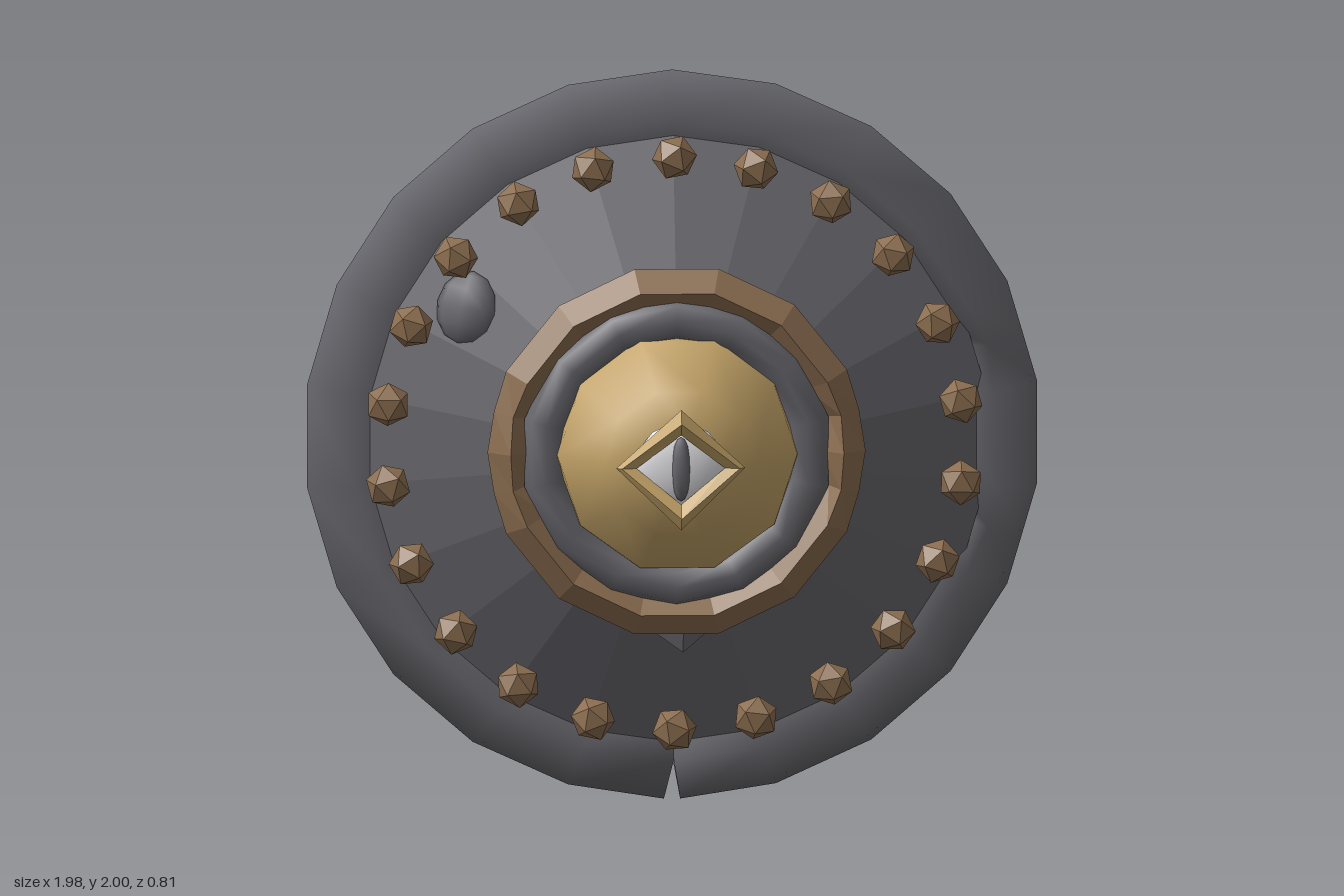
import * as THREE from 'three';

const steel = new THREE.MeshStandardMaterial({ color: 0x69686e, side: THREE.DoubleSide });
steel.name = 'steel';
const wood = new THREE.MeshStandardMaterial({ color: 0x8c6e50, side: THREE.DoubleSide });
wood.name = 'brown';
const gold = new THREE.MeshStandardMaterial({ color: 0xc4a468, side: THREE.DoubleSide });
gold.name = 'gold';
const white = new THREE.MeshStandardMaterial({ color: 0xe4e4e8 });
white.name = 'eye white';

// Give every face its own normal
function flat(geo) {
  const g = geo.index ? geo.toNonIndexed() : geo;
  g.computeVertexNormals();
  return g;
}

// Skin between cross-sections, each a list of [x, y, z]
function loft(rings, closed = false) {
  const n = rings[0].length, count = rings.length, index = [];
  for (let i = 0; i < (closed ? count : count - 1); i++) {
    const a = i * n, b = ((i + 1) % count) * n;
    for (let k = 0; k < n; k++) {
      const m = (k + 1) % n;
      index.push(a + k, b + k, b + m, a + k, b + m, a + m);
    }
  }
  const g = new THREE.BufferGeometry();
  g.setAttribute('position', new THREE.Float32BufferAttribute(rings.flat(2), 3));
  g.setIndex(index);
  g.computeVertexNormals();
  return g;
}

// Diamond section of a hoop: outer, front, inner, back; pinch squeezes all but the outer corner
function hoopSection(angle, R, t, z, pinch = 0) {
  const shrink = pinch ? 0.99 : 1;
  const corners = [
    [R + t, z],
    [R + t * pinch * 0.25, z + t * (1 - pinch * 0.45)],
    [R - t * (1 - pinch), z],
    [R + t * pinch * 0.25, z - t * (1 - pinch * 0.45)],
  ];
  return corners.map(([r, zz]) => [r * shrink * Math.cos(angle), r * shrink * Math.sin(angle), zz]);
}

// Turned form around the z axis, from [radius, z] points
function turned(points, sides, start = 0) {
  return new THREE.LatheGeometry(points.map(p => new THREE.Vector2(p[0], p[1])), sides, start).rotateX(Math.PI / 2);
}

export function createModel() {
  const model = new THREE.Group();
  model.name = 'roundShield';
  const body = new THREE.Group();
  body.name = 'shieldParts';
  body.position.y = 1;
  model.add(body);

  const add = (name, geo, mat, x = 0, y = 0, z = 0) => {
    const mesh = new THREE.Mesh(geo, mat);
    mesh.name = name;
    mesh.position.set(x, y, z);
    body.add(mesh);
    return mesh;
  };

  // Conical plate and its wooden backing
  const SIDES = 22, STEP = Math.PI * 2 / SIDES;
  add('frontPlate', flat(turned([[0.86, -0.21], [0.47, -0.02], [0.3, 0.03]], SIDES)), steel);
  add('backing', flat(turned([[0, -0.16], [0.47, -0.18], [0.84, -0.28]], SIDES)), wood);

  // Rim with an open seam at the bottom and a damaged stretch on its left
  const rimRings = [];
  for (let i = 0; i <= SIDES; i++) {
    const angle = -Math.PI / 2 + i * STEP;
    const ring = hoopSection(angle, 0.875, 0.125, -0.277);
    if (i === 0) ring[0][0] += 0.022;
    if (i === SIDES) ring[0][0] -= 0.022;
    rimRings.push(ring);
    if (i === 4 || i === 6) rimRings.push(hoopSection(angle + STEP / 2, 0.875, 0.125, -0.277, 0.8));
  }
  add('rim', loft(rimRings), steel);

  // Rivets
  const rivet = new THREE.IcosahedronGeometry(0.062, 0);
  const axis = new THREE.Vector3(1, 1, 1).normalize();
  rivet.applyQuaternion(new THREE.Quaternion().setFromUnitVectors(axis, new THREE.Vector3(0, 0, 1)));
  for (let i = 0; i < SIDES; i++) {
    const a = i * STEP;
    add('rivet', rivet, wood, 0.785 * Math.sin(a), 0.785 * Math.cos(a), -0.107).rotation.z = -a;
  }

  // Faceted band around the boss, pinched beside its two side corners
  const bandRings = [];
  for (let i = 0; i < 14; i++) {
    const step = Math.PI / 7;
    bandRings.push(hoopSection(i * step, 0.452, 0.061, 0.035));
    if ([0, 6, 7, 13].includes(i)) {
      bandRings.push(hoopSection((i + 0.5) * step, 0.452, 0.061, 0.035, 0.6));
    }
  }
  add('bossBand', flat(loft(bandRings, true)), wood);

  // Steel collar and golden boss
  add('bossCollar', new THREE.TorusGeometry(0.365, 0.058, 8, 14).rotateZ(Math.PI / 14), steel, 0, 0, 0.045);
  add('boss', turned([[0.335, 0.03], [0.325, 0.1], [0.205, 0.25], [0.11, 0.3], [0, 0.31]], 10, Math.PI / 10), gold);

  // Eye and slit pupil
  add('eyeball', new THREE.SphereGeometry(1, 14, 10).rotateX(Math.PI / 2).scale(0.122, 0.122, 0.052), white, 0, 0, 0.31);
  add('pupil', new THREE.SphereGeometry(1, 8, 8).scale(0.027, 0.088, 0.03), steel, 0, 0, 0.352);

  // Upper and lower eyelids
  for (const s of [1, -1]) {
    const corner = side => [[side * 0.175, 0, 0.33], [side * 0.16, 0, 0.345], [side * 0.12, 0, 0.335]];
    const middle = [[0, s * 0.165, 0.37], [0, s * 0.13, 0.403], [0, s * 0.095, 0.365]];
    add(s > 0 ? 'upperEyelid' : 'lowerEyelid', flat(loft([corner(-1), middle, corner(1)])), gold);
  }

  // Dent on the plate and a splinter below the band
  const dent = add('dent', new THREE.SphereGeometry(1, 8, 6).scale(0.085, 0.1, 0.04), steel, -0.565, 0.375, -0.12);
  dent.rotation.set(-0.2, -0.38, -0.25);
  add('splinter', flat(loft([
    [[-0.11, -0.47, -0.05], [0.02, -0.47, 0.01], [0.13, -0.47, -0.05], [0.02, -0.47, -0.1]],
    [[0.02, -0.56, -0.02], [0.02, -0.56, -0.02], [0.02, -0.56, -0.02], [0.02, -0.56, -0.02]],
  ])), steel);

  // Bent grip on the back: [y, z, section tilt]
  const gripPath = [[0.33, -0.14, 0.95], [0.2, -0.3, 0.45], [-0.2, -0.3, -0.45], [-0.33, -0.14, -0.95]];
  const gripRings = gripPath.map(([y, z, tilt]) => {
    const ring = [];
    for (let k = 0; k < 8; k++) {
      const a = k * Math.PI / 4, d = 0.055 * Math.sin(a);
      ring.push([0.055 * Math.cos(a), y + d * Math.sin(-tilt), z + d * Math.cos(tilt)]);
    }
    return ring;
  });
  add('grip', loft(gripRings), wood);

  return model;
}
